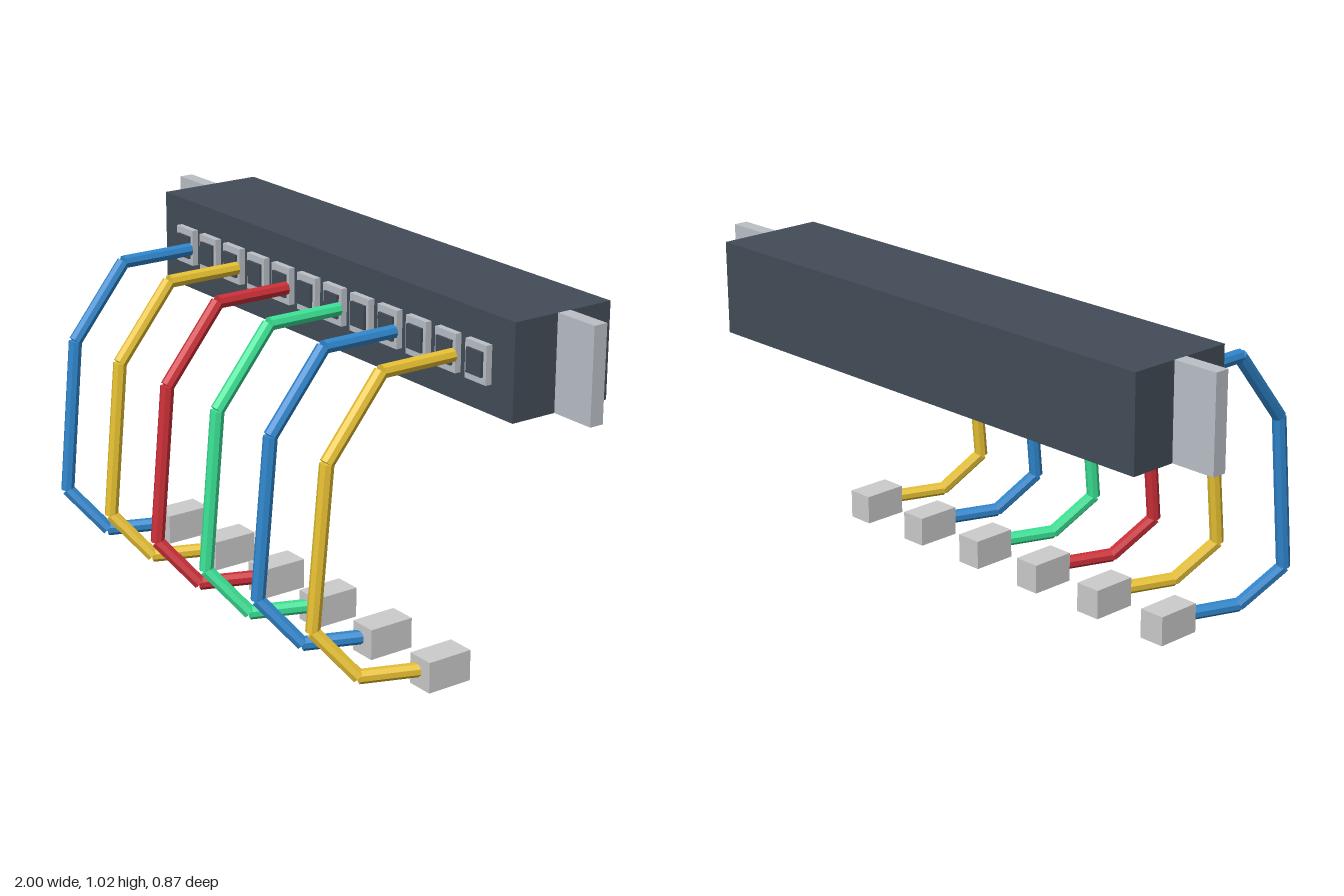
import * as THREE from 'three';

const paint = (color, extra = {}) => new THREE.MeshStandardMaterial({ color, ...extra });

// Box given by its centre and size
function box(name, material, [x, y, z], [w, h, d]) {
  const mesh = new THREE.Mesh(new THREE.BoxGeometry(w, h, d), material);
  mesh.position.set(x, y, z);
  mesh.name = name;
  return mesh;
}

// Straight eight-sided rod between two points
function rod(name, material, a, b, radius) {
  const dir = b.clone().sub(a);
  const mesh = new THREE.Mesh(new THREE.CylinderGeometry(radius, radius, dir.length(), 8), material);
  mesh.position.copy(a).add(b).multiplyScalar(0.5);
  mesh.quaternion.setFromUnitVectors(new THREE.Vector3(0, 1, 0), dir.normalize());
  mesh.name = name;
  return mesh;
}

export function createModel() {
  const model = new THREE.Group();
  model.name = 'patchPanel';
  const dark = paint(0x434c57);
  const metal = paint(0xbbc0c8);
  const grey = paint(0xcccccc);

  // Housing and mounting ears
  model.add(box('housing', dark, [0, 0.877, -0.26], [1.71, 0.286, 0.34]));
  for (const side of [-1, 1]) {
    model.add(box(side > 0 ? 'leftEar' : 'rightEar', metal, [side * 0.9275, 0.877, -0.262], [0.145, 0.286, 0.045]));
  }

  // Row of twelve sockets
  for (let i = 0; i < 12; i++) {
    const x = (i - 5.5) * 0.1306;
    model.add(box('socketFrame', metal, [x, 0.877, -0.081], [0.09, 0.114, 0.022]));
    model.add(box('socketOpening', dark, [x, 0.877, -0.068], [0.065, 0.072, 0.012]));
  }

  // Cables built of straight segments, each ending in a plug
  const path = [
    [0, 0.878, -0.055], [0, 0.878, 0.19], [0, 0.655, 0.37],
    [0, 0.175, 0.415], [0.09, 0.05, 0.325], [0.16, 0.05, 0.14],
  ];
  const [blue, yellow, red, green] = [0x2f86cc, 0xe6c032, 0xcc2f38, 0x3ae094]
    .map((color) => paint(color, { flatShading: true }));
  [blue, yellow, red, green, blue, yellow].forEach((material, i) => {
    const cable = new THREE.Group();
    cable.name = 'cable';
    cable.position.x = -0.668 + i * 0.2612;
    const points = path.map((p) => new THREE.Vector3(...p));
    for (let k = 1; k < points.length; k++) {
      cable.add(rod('cableSegment', material, points[k - 1], points[k], 0.021));
    }
    cable.add(box('plug', grey, [0.163, 0.046, 0.098], [0.085, 0.092, 0.144]));
    model.add(cable);
  });

  return model;
}
